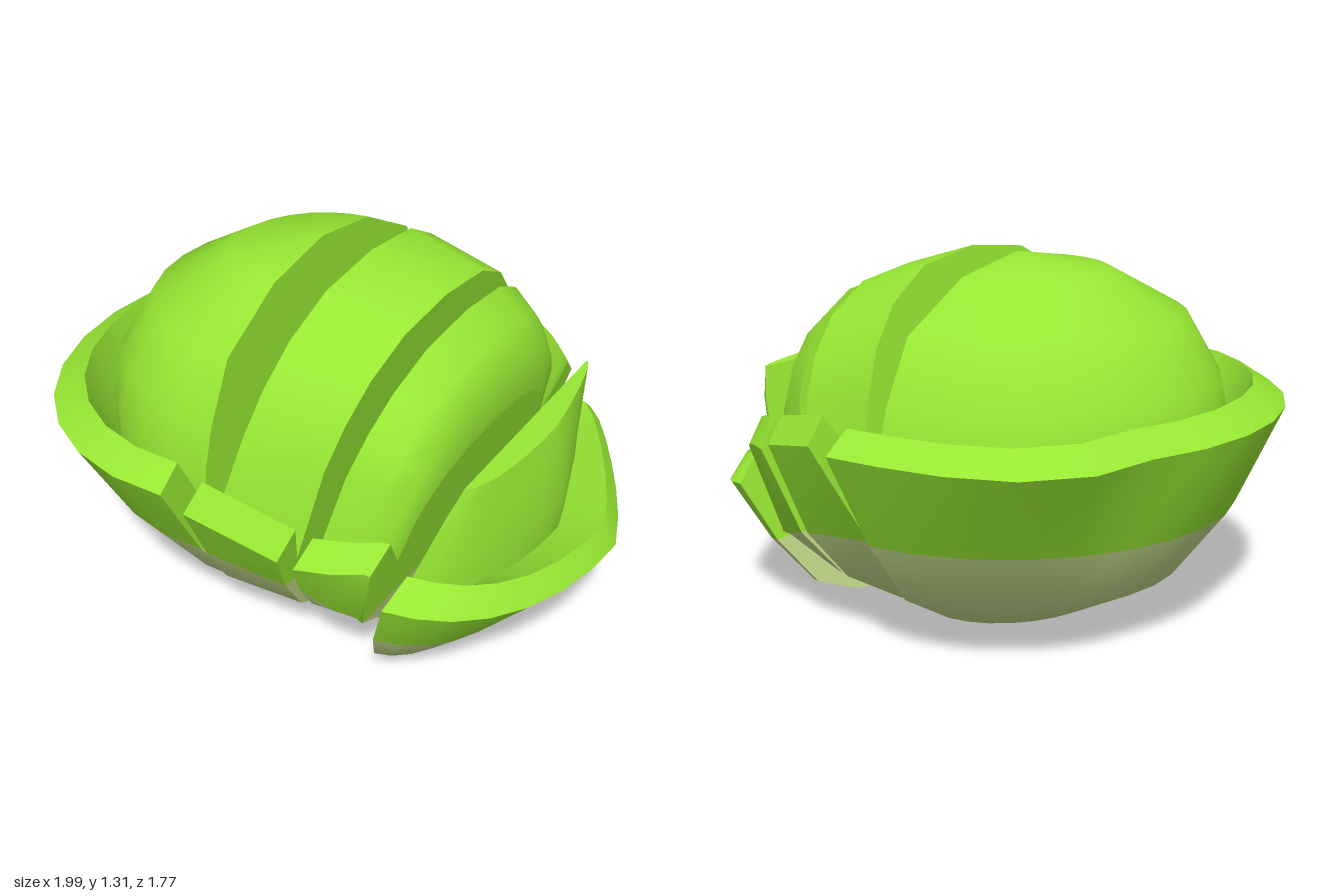
import * as THREE from 'three';
import { mergeVertices } from 'three/addons/utils/BufferGeometryUtils.js';

const green = new THREE.MeshStandardMaterial({ color: 0x97e733, side: THREE.DoubleSide });
green.name = 'leafGreen';
const pale = new THREE.MeshStandardMaterial({ color: 0xc2d888, side: THREE.DoubleSide });
pale.name = 'paleGreen';

// Profile rows are [radius along x, radius along z, height], from the base, out to the rim, in, and over the dome.
const PALE = 3, RIM = 4, LIP = 5, CREASE = 6;

// Joins grids of columns into one smooth surface; rows below the pale line use the pale colour
function skin(name, grids, first, last) {
  const pos = [], geo = new THREE.BufferGeometry();
  const addRows = (from, to, material) => {
    const start = pos.length / 3;
    for (const cols of grids)
      for (let j = 0; j < cols.length - 1; j++)
        for (let i = from; i < to; i++) {
          const a = cols[j][i], b = cols[j + 1][i], c = cols[j + 1][i + 1], d = cols[j][i + 1];
          for (const [p, q, r] of [[a, b, c], [a, c, d]])
            if (p.distanceTo(q) > 1e-6 && q.distanceTo(r) > 1e-6 && r.distanceTo(p) > 1e-6)
              for (const v of [p, q, r]) pos.push(v.x, v.y, v.z);
        }
    geo.addGroup(start, pos.length / 3 - start, material);
  };
  const split = Math.min(Math.max(PALE, first), last);
  if (split > first) addRows(first, split, 1);
  addRows(split, last, 0);
  geo.setAttribute('position', new THREE.Float32BufferAttribute(pos, 3));
  const merged = mergeVertices(geo, 1e-4);
  merged.computeVertexNormals();
  const mesh = new THREE.Mesh(merged, [green, pale]);
  mesh.name = name;
  return mesh;
}

// Flat cut face between a front and a back column; side is +1 or -1 along x
function cutFace(name, front, back, from, to, side, lean, u, material) {
  const outline = [...front.slice(from, to + 1), ...back.slice(from, to + 1).reverse()]
    .filter((p, i, all) => i === 0 || p.distanceTo(all[i - 1]) > 1e-5);
  if (outline[0].distanceTo(outline[outline.length - 1]) < 1e-5) outline.pop();
  const geo = new THREE.ShapeGeometry(new THREE.Shape(outline.map(p => new THREE.Vector2(-side * p.z, p.y))));
  const pos = geo.attributes.position;
  for (let i = 0; i < pos.count; i++) {
    const z = -side * pos.getX(i), y = pos.getY(i);
    pos.setXYZ(i, u + lean.y * (y - 0.6) - lean.z * z, y, z);
  }
  geo.computeVertexNormals();
  const mesh = new THREE.Mesh(geo, material);
  mesh.name = name;
  return mesh;
}

// Cup, rim, inner wall, dome, flat top (if any) and cut faces of one slice
function assemble(name, grids, cuts, lean, flatTop) {
  const g = new THREE.Group();
  g.name = name;
  const last = grids[0][0].length - 1, domeEnd = flatTop ? last - 1 : last;
  g.add(skin('outerLeaf', grids, 0, RIM), skin('rim', grids, RIM, LIP),
    skin('innerWall', grids, LIP, CREASE), skin('dome', grids, CREASE, domeEnd));
  if (flatTop) g.add(skin('flatTop', grids, domeEnd, last));
  for (const { front, back, side, u } of cuts) {
    g.add(cutFace('cutFaceBase', front, back, 0, PALE, side, lean, u, pale));
    g.add(cutFace('cutFace', front, back, PALE, last, side, lean, u, green));
  }
  return g;
}

const place = (u, y, z, lean) => new THREE.Vector3(u + lean.y * (y - 0.6) - lean.z * z, y, z);

// Rounded end piece: half a turn of the profile, dir +1 for the left end and -1 for the right
function endSlice(name, rows, { u, z0, lean, dir, lift = 0, paleRise = 0, pinch = 0, bulge = 0, flatTop = false }) {
  const cols = [], n = 14;
  for (let j = 0; j <= n; j++) {
    const t = Math.PI * (j / n + (dir > 0 ? 0 : 1)), c = Math.cos(t), backness = Math.max(0, -c);
    // wavy back of the rim, with a notch where the bulge starts
    const flare = 1 + bulge * Math.sin(Math.PI * THREE.MathUtils.clamp((backness - 0.46) / 0.54, 0, 1));
    cols.push(rows.map((row, i) => {
      let [rx, rz, y] = row;
      if (i === PALE) // pale edge climbs the cup towards the cut
        [rx, rz, y] = row.map((v, k) => THREE.MathUtils.lerp(v, rows[RIM][k], paleRise * c * c));
      const onRim = i === RIM || i === LIP, f = onRim ? flare : 1;
      return place(u + rx * f * Math.sin(t) * (1 - pinch * backness),
        y + (onRim ? lift * c ** 4 : 0), z0 + rz * f * c, lean);
    }));
  }
  const front = dir > 0 ? cols[0] : cols[n], back = dir > 0 ? cols[n] : cols[0];
  return assemble(name, [cols], [{ front, back, side: -dir, u }], lean, flatTop);
}

// Middle slice: cross-sections at a few stations along x
function middleSlice(name, stations, lean) {
  const column = (s, sign) => {
    const rows = [[0, s.base], [0.33, s.base + 0.06], [0.56 * s.k, s.base + 0.2], [0.7 * s.k, s.pale],
      [s.rimZ, s.rimY], [s.rimZ - 0.08, s.rimY + 0.08], [s.w, s.rimY - 0.08]];
    const y0 = 0.52;
    for (const deg of [28, 42, 56, 73, 90]) {
      const a = THREE.MathUtils.degToRad(deg);
      rows.push([deg === 90 ? 0 : s.w * Math.cos(a) ** 0.8, y0 + (s.top - y0) * Math.sin(a)]);
    }
    return rows.map(([z, y], i) => place(s.u,
      y + (sign < 0 && (i === RIM || i === LIP) ? s.backLift : 0), s.z0 + sign * z, lean));
  };
  const front = stations.map(s => column(s, 1));
  const back = stations.map(s => column(s, -1));
  const n = stations.length - 1;
  return assemble(name, [front, [...back].reverse()], [
    { front: front[0], back: back[0], side: -1, u: stations[0].u },
    { front: front[n], back: back[n], side: 1, u: stations[n].u },
  ], lean, false);
}

export function createModel() {
  const model = new THREE.Group();
  model.name = 'slicedCabbage';

  // Large uncut end
  model.add(endSlice('largeEnd', [
    [0, 0, 0.04], [0.3, 0.34, 0.085], [0.55, 0.55, 0.22], [0.72, 0.71, 0.46],
    [0.855, 0.88, 0.8], [0.745, 0.79, 0.87], [0.68, 0.67, 0.62],
    [0.69, 0.66, 0.76], [0.665, 0.62, 0.9], [0.545, 0.52, 1.11], [0.3, 0.27, 1.26], [0, 0, 1.31],
  ], { u: -0.135, z0: -0.01, lean: { y: 0, z: 0.168 }, dir: -1, bulge: 0.13 }));

  // Two leaning middle slices
  model.add(middleSlice('thickSlice', [
    { u: -0.08, z0: 0.01, base: 0.045, pale: 0.46, rimY: 0.76, rimZ: 0.87, w: 0.66, top: 1.31, k: 1, backLift: 0.05 },
    { u: 0.215, z0: 0.03, base: 0.03, pale: 0.42, rimY: 0.6, rimZ: 0.77, w: 0.64, top: 1.22, k: 0.97, backLift: 0.14 },
  ], { y: 0.19, z: 0.168 }));
  model.add(middleSlice('thinSlice', [
    { u: 0.265, z0: 0.03, base: 0.03, pale: 0.41, rimY: 0.57, rimZ: 0.75, w: 0.61, top: 1.18, k: 0.95, backLift: 0.14 },
    { u: 0.39, z0: 0.06, base: 0.035, pale: 0.37, rimY: 0.58, rimZ: 0.7, w: 0.58, top: 1.1, k: 0.91, backLift: 0.11 },
    { u: 0.475, z0: 0.08, base: 0.05, pale: 0.34, rimY: 0.6, rimZ: 0.66, w: 0.53, top: 0.99, k: 0.85, backLift: 0.06 },
    { u: 0.5, z0: 0.09, base: 0.06, pale: 0.33, rimY: 0.6, rimZ: 0.65, w: 0.46, top: 0.83, k: 0.84, backLift: 0.05 },
  ], { y: 0.24, z: 0.168 }));

  // Small end with a low, flat-topped core
  model.add(endSlice('smallEnd', [
    [0, 0, 0], [0.14, 0.31, 0.035], [0.25, 0.48, 0.11], [0.31, 0.54, 0.18],
    [0.475, 0.68, 0.45], [0.4, 0.58, 0.53], [0.27, 0.51, 0.46],
    [0.23, 0.49, 0.6], [0.15, 0.46, 0.76], [0.09, 0.42, 0.86], [0, 0, 0.86],
  ], { u: 0.58, z0: 0.1, lean: { y: 0.35, z: 0.15 }, dir: 1, lift: 0.06, paleRise: 0.42, pinch: 0.45, flatTop: true }));
  return model;
}
